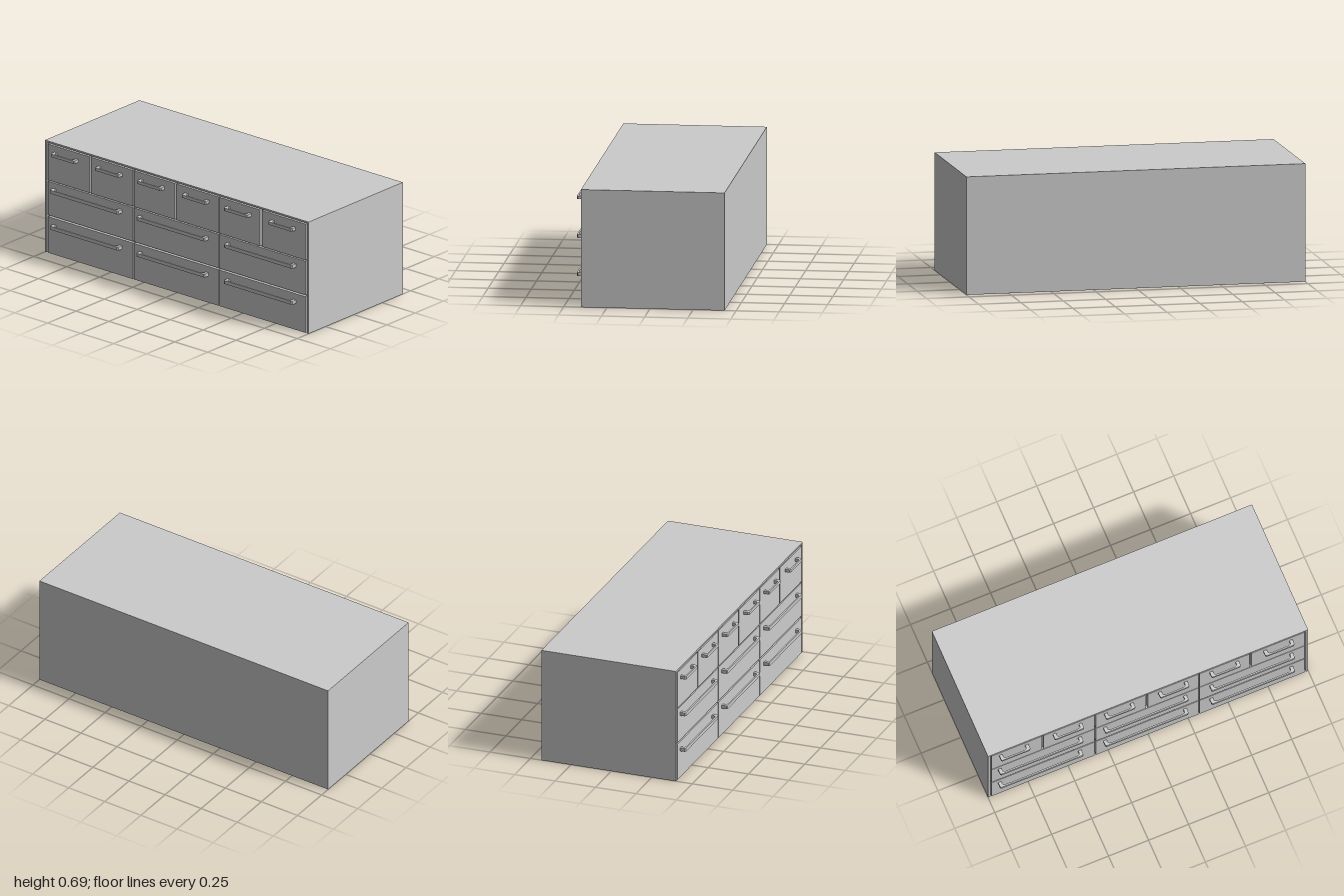
import * as THREE from 'three';

const FRONT = 0.4, BACK = -0.433, H = 0.69, RECESS = 0.38;

export function createModel() {
  const group = new THREE.Group();
  const mat = new THREE.MeshStandardMaterial({ color: 0xcccccc, flatShading: true });

  // Box given by its limits on each axis
  const box = (name, x0, x1, y0, y1, z0, z1) => {
    const m = new THREE.Mesh(new THREE.BoxGeometry(x1 - x0, y1 - y0, z1 - z0), mat);
    m.position.set((x0 + x1) / 2, (y0 + y1) / 2, (z0 + z1) / 2);
    m.name = name;
    group.add(m);
  };

  // Bracket pull: plan outline with clipped outer corners and curved inner ones
  const handle = (x0, x1, y0, y1) => {
    const d = 0.035, t = 0.009, leg = 0.02, c = 0.006, r = 0.02, w = x1 - x0;
    const s = new THREE.Shape();
    s.moveTo(0, 0);
    s.lineTo(leg, 0);
    s.lineTo(leg, d - t - 0.012);
    s.quadraticCurveTo(leg, d - t, leg + r, d - t);
    s.lineTo(w - leg - r, d - t);
    s.quadraticCurveTo(w - leg, d - t, w - leg, d - t - 0.012);
    s.lineTo(w - leg, 0);
    s.lineTo(w, 0);
    s.lineTo(w, d - c);
    s.lineTo(w - c, d);
    s.lineTo(c, d);
    s.lineTo(0, d - c);
    s.closePath();
    const g = new THREE.ExtrudeGeometry(s, { depth: y1 - y0, bevelEnabled: false, curveSegments: 5 });
    g.rotateX(Math.PI / 2); // outline depth becomes +z, thickness hangs below
    const m = new THREE.Mesh(g, mat);
    m.position.set(x0, y1, FRONT);
    m.name = 'handle';
    group.add(m);
  };

  // Cabinet: solid body with a thin rim round the drawer fronts
  box('cabinetBody', -1, 1, 0, H, BACK, RECESS);
  box('topRim', -1, 1, 0.68, H, RECESS, FRONT);
  for (const s of [-1, 1]) box('sideRim', s < 0 ? -1 : 0.986, s < 0 ? -0.986 : 1, 0, 0.68, RECESS, FRONT);

  // Top row of six small drawers
  const small = [[-0.978, -0.664], [-0.653, -0.334], [-0.326, -0.015], [-0.002, 0.315], [0.322, 0.632], [0.645, 0.977]];
  const smallPulls = [-0.93, -0.595, -0.274, 0.063, 0.384, 0.72];
  small.forEach(([a, b], i) => {
    box('smallDrawer', a, b, 0.449, 0.672, RECESS, FRONT);
    handle(smallPulls[i], smallPulls[i] + 0.182, 0.615, 0.633);
  });

  // Two rows of three wide drawers
  const wide = [[-0.978, -0.334], [-0.326, 0.315], [0.322, 0.977]];
  const widePulls = [-0.937, -0.28, 0.384];
  for (const [y0, y1, h] of [[0, 0.223, 0.164], [0.233, 0.442, 0.387]]) {
    wide.forEach(([a, b], i) => {
      box('wideDrawer', a, b, y0, y1, RECESS, FRONT);
      handle(widePulls[i], widePulls[i] + 0.52, h, h + 0.021);
    });
  }
  return group;
}
